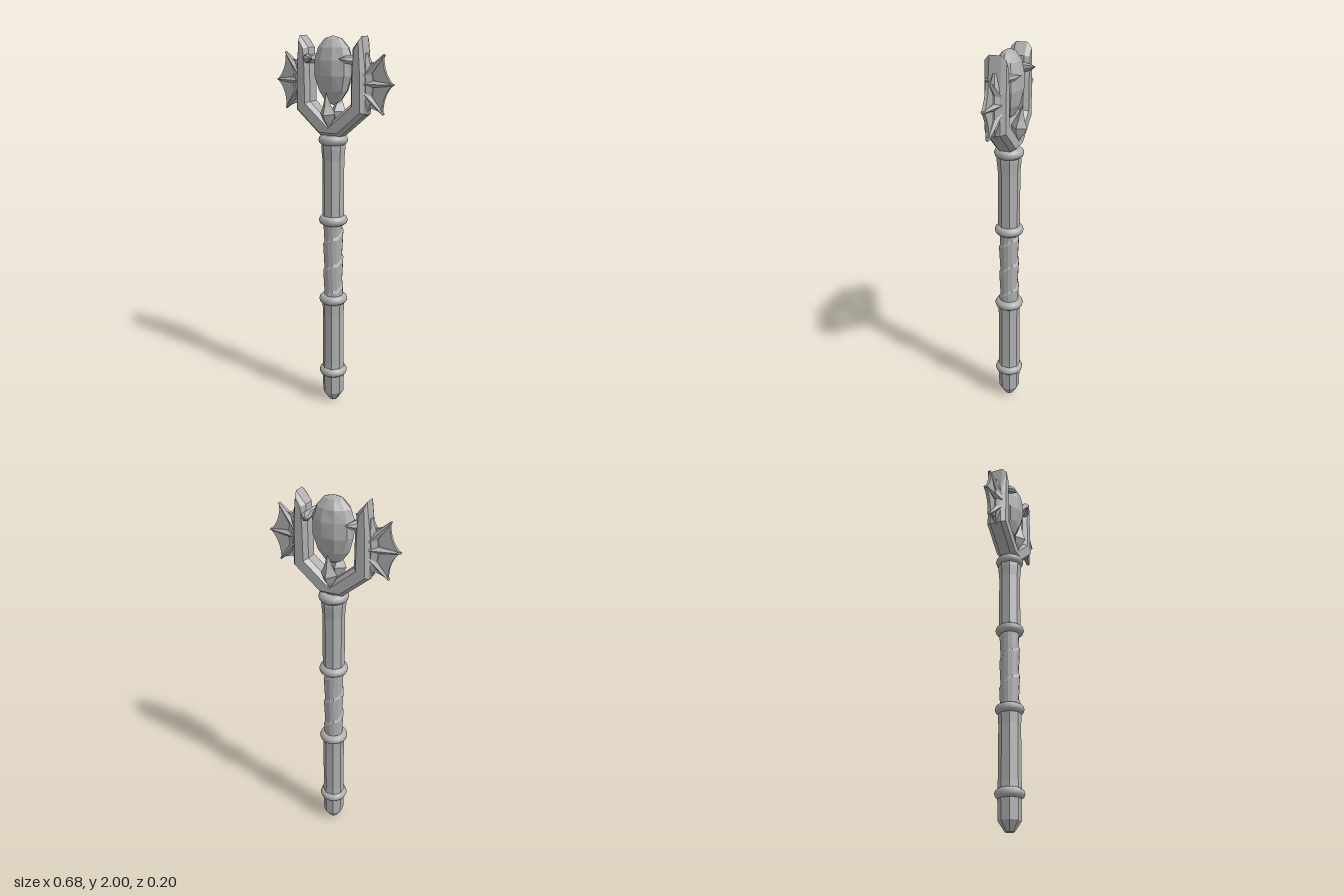
import * as THREE from 'three';

const stone = new THREE.MeshStandardMaterial({ color: 0xb0b0b0 });
stone.name = 'grey stone';

export function createModel() {
  const model = new THREE.Group();
  model.name = 'sceptre';

  const add = (name, geometry, parent = model) => {
    const mesh = new THREE.Mesh(geometry, stone);
    mesh.name = name;
    parent.add(mesh);
    return mesh;
  };

  // Faceted copy of a geometry
  const flat = (geometry) => {
    const g = geometry.index ? geometry.toNonIndexed() : geometry;
    g.computeVertexNormals();
    return g;
  };

  // Tube along points whose thickness follows a list of radii
  const taperedTube = (points, radii, sides, steps = 10) => {
    const curve = new THREE.CatmullRomCurve3(points.map((p) => new THREE.Vector3(...p)));
    const g = new THREE.TubeGeometry(curve, steps, 1, sides);
    const pos = g.attributes.position;
    const v = new THREE.Vector3();
    for (let i = 0; i < pos.count; i++) {
      const t = Math.floor(i / (sides + 1)) / steps;
      const f = t * (radii.length - 1);
      const k = Math.min(Math.floor(f), radii.length - 2);
      const r = THREE.MathUtils.lerp(radii[k], radii[k + 1], f - k);
      const c = curve.getPointAt(t);
      v.fromBufferAttribute(pos, i).sub(c).multiplyScalar(r).add(c);
      pos.setXYZ(i, v.x, v.y, v.z);
    }
    return flat(g);
  };

  // Octagonal solid with flat sides to the front, from [radius, y] rows
  const octagon = (rows) => {
    const pts = rows.map(([r, y]) => new THREE.Vector2(r / Math.cos(Math.PI / 8), y));
    return flat(new THREE.LatheGeometry(pts, 8, Math.PI / 8));
  };

  // Pommel and the two plain lengths of shaft
  add('pommel', octagon([[0, 0], [0.022, 0.004], [0.053, 0.055], [0.056, 0.17], [0, 0.18]]));
  add('lowerShaft', octagon([[0.057, 0.18], [0.054, 0.25], [0.053, 0.53], [0.057, 0.62]]));
  add('upperShaft', octagon([[0.053, 1.06], [0.053, 1.38], [0.058, 1.44], [0.058, 1.5]]));

  // Wrapped grip: stepped bands winding round the middle
  const grip = new THREE.CylinderGeometry(0.05, 0.05, 0.45, 14, 30, true);
  const gp = grip.attributes.position;
  for (let i = 0; i < gp.count; i++) {
    const x = gp.getX(i), y = gp.getY(i), z = gp.getZ(i);
    const turn = y / 0.15 + Math.atan2(z, x) / (2 * Math.PI) + 10;
    const s = 0.94 + 0.15 * (turn - Math.floor(turn));
    gp.setXYZ(i, x * s, y, z * s);
  }
  add('grip', flat(grip)).position.y = 0.837;

  // Collars
  for (const y of [0.185, 0.615, 1.06, 1.485]) {
    const ring = add('collar', new THREE.TorusGeometry(0.05, 0.026, 10, 28));
    ring.rotation.x = Math.PI / 2;
    ring.position.y = y;
  }

  // Forked head with chamfered edges; the bevel grows the outline by b
  const b = 0.018;
  const half = [[0.052, 1.525], [0.184, 1.637], [0.181, 1.83], [0.172, 1.975], [0.147, 1.935],
    [0.14, 1.84], [0.138, 1.665], [0, 1.548]];
  const outline = [...half, ...half.slice(0, -1).reverse().map(([x, y]) => [-x, y])];
  const fork = new THREE.ExtrudeGeometry(
    new THREE.Shape(outline.map((p) => new THREE.Vector2(...p))),
    { depth: 0.06, bevelThickness: 0.024, bevelSize: b, bevelSegments: 1 });
  fork.translate(0, 0, -0.03);
  add('fork', fork);

  // Faceted egg-shaped orb
  const orb = new THREE.SphereGeometry(1, 10, 7);
  const op = orb.attributes.position;
  for (let i = 0; i < op.count; i++) {
    const x = op.getX(i), y = op.getY(i), z = op.getZ(i);
    const s = 1 + 0.05 * Math.sin(7 * x + 5 * y) * Math.cos(6 * z - 4 * y) * (1 - y * y);
    const narrow = y < 0 ? 1 + 0.12 * y : 1;
    op.setXYZ(i, x * 0.112 * s * narrow, 1.85 + y * (y > 0 ? 0.15 : 0.19), z * 0.074 * s * narrow);
  }
  add('orb', flat(orb));

  // Claws under the orb, front and back
  for (const s of [1, -1]) {
    add('lowerClaw', taperedTube(
      [[0, 1.55, 0.045 * s], [0, 1.62, 0.052 * s], [0, 1.73, 0.068 * s]],
      [0.004, 0.028, 0.044, 0.026, 0.013, 0], 4));
  }

  for (const s of [1, -1]) {
    // Crescent claws gripping the orb from each prong
    add('orbClaw', taperedTube(
      [[0.1 * s, 1.9, -0.1], [0.123 * s, 1.888, -0.05], [0.137 * s, 1.885, 0],
        [0.122 * s, 1.888, 0.05], [0.075 * s, 1.893, 0.08]],
      [0, 0.016, 0.025, 0.026, 0.024, 0.02, 0], 7, 12));

    // Webbed fin, turned half round for the other side
    const fin = new THREE.Group();
    fin.name = 'fin';
    fin.rotation.y = s > 0 ? 0 : Math.PI;
    model.add(fin);

    const web = new THREE.Shape();
    web.moveTo(0.18, 1.66);
    web.quadraticCurveTo(0.23, 1.665, 0.283, 1.635);
    web.quadraticCurveTo(0.28, 1.72, 0.335, 1.775);
    web.quadraticCurveTo(0.28, 1.83, 0.283, 1.91);
    web.quadraticCurveTo(0.23, 1.86, 0.18, 1.88);
    const webbing = new THREE.ExtrudeGeometry(web, { depth: 0.016, bevelEnabled: false, curveSegments: 5 });
    webbing.translate(0, 0, -0.008);
    add('webbing', webbing, fin);

    // Root of the fin along the prong
    add('finRoot', taperedTube([[0.19, 1.62, 0], [0.205, 1.77, 0], [0.19, 1.92, 0]],
      [0.008, 0.03, 0.034, 0.03, 0.008], 6), fin);

    // Ribs
    for (const [y0, x1, y1] of [[1.81, 0.288, 1.915], [1.775, 0.34, 1.775], [1.735, 0.288, 1.63]]) {
      const len = Math.hypot(x1 - 0.19, y1 - y0);
      const rib = add('rib', flat(new THREE.CylinderGeometry(0.009, 0.04, len, 6)), fin);
      rib.scale.x = 0.6;
      rib.position.set((0.19 + x1) / 2, (y0 + y1) / 2, 0);
      rib.rotation.z = Math.atan2(y1 - y0, x1 - 0.19) - Math.PI / 2;
    }
  }

  return model;
}
